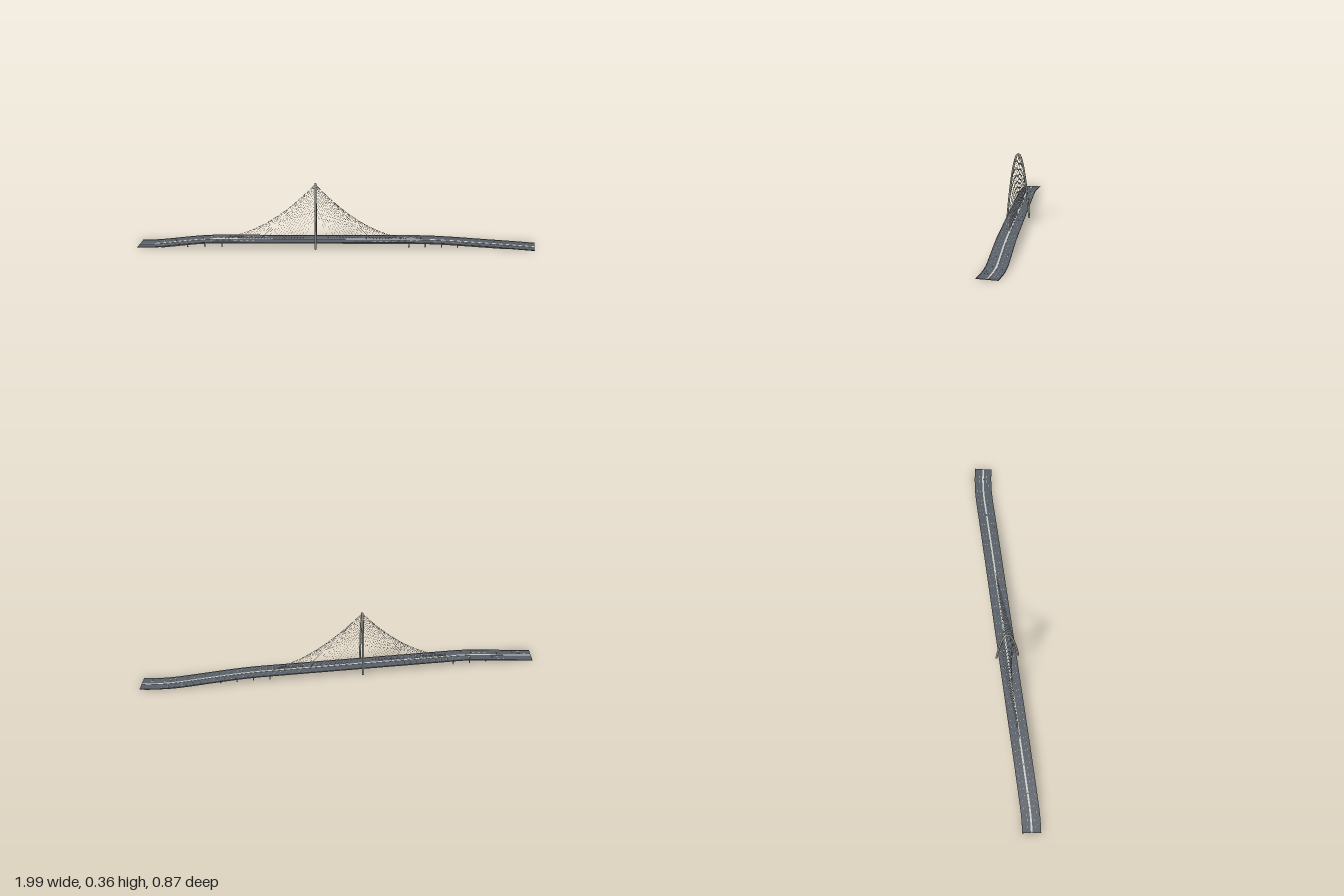
import * as THREE from 'three';
import { mergeGeometries } from 'three/addons/utils/BufferGeometryUtils.js';

const mat = (color) => new THREE.MeshStandardMaterial({ color });
const smooth = (t) => THREE.MathUtils.smoothstep(t, 0, 1);

// Road alignment: straight over the main span, easing round at both ends
const PYLON_X = -0.105, PYLON_Z = 0.033, SLOPE = -0.41;
function planZ(x) {
  const l = Math.max(0, -0.85 - x), r = Math.max(0, x - 0.77);
  return PYLON_Z + SLOPE * (x - PYLON_X) - 0.5 * l * l + 0.48 * r * r;
}

// Road height: flat in the middle, ramping to the ground at the ends
const deckY = (x) => 0.033 * smooth((x + 0.99) / 0.4) * (1 - smooth((x - 0.38) / 0.59));

// Point on the alignment, shifted sideways by "off"
function at(x, off, y) {
  const slope = (planZ(x + 1e-3) - planZ(x - 1e-3)) / 2e-3;
  const len = Math.hypot(1, slope);
  return new THREE.Vector3(x - (slope / len) * off, Math.max(0, y), planZ(x) + off / len);
}

// Rectangular section swept along the alignment
function sweep(x0, x1, a, b, low, high, n = 80) {
  const pos = [], index = [];
  for (let i = 0; i <= n; i++) {
    const x = x0 + ((x1 - x0) * i) / n, h = deckY(x);
    for (const [o, y] of [[a, low], [b, low], [b, high], [a, high]]) {
      pos.push(...at(x, o, h + y).toArray());
    }
    if (i === n) continue;
    for (let j = 0; j < 4; j++) {
      const A = i * 4 + j, B = i * 4 + ((j + 1) % 4);
      index.push(A, A + 4, B, B, A + 4, B + 4);
    }
  }
  const e = n * 4;
  index.push(0, 1, 2, 0, 2, 3, e, e + 2, e + 1, e, e + 3, e + 2);
  const g = new THREE.BufferGeometry();
  g.setAttribute('position', new THREE.Float32BufferAttribute(pos, 3));
  g.setIndex(index);
  const flat = g.toNonIndexed();
  flat.computeVertexNormals();
  return flat;
}

// Straight round bar between two points
function bar(p, q, r, sides = 5) {
  const d = q.clone().sub(p);
  const g = new THREE.CylinderGeometry(r, r, d.length(), sides);
  g.applyQuaternion(new THREE.Quaternion().setFromUnitVectors(new THREE.Vector3(0, 1, 0), d.normalize()));
  const m = p.clone().add(q).multiplyScalar(0.5);
  return g.translate(m.x, m.y, m.z);
}

// Parabolic arch across the road; t runs from one foot (-1) over the crown to the other (1)
const archPoint = (t) => at(PYLON_X, 0.06 * t, 0.3515 * (1 - t * t));

export function createModel() {
  const group = new THREE.Group();
  const add = (name, geometry, material) => {
    const mesh = new THREE.Mesh(geometry, material);
    mesh.name = name;
    group.add(mesh);
  };
  const asphalt = mat(0x596067), concrete = mat(0xa3a398), shade = mat(0x6c6f6e);
  const pale = mat(0xd0d4d0), steel = mat(0xb4b4aa), cableGrey = mat(0xb8b8b8);
  const X0 = -0.986, X1 = 0.986;

  // Road slab, girder, parapets and median
  add('roadDeck', sweep(X0, X1, -0.0485, 0.0485, 0, 0.002), asphalt);
  add('deckGirder', sweep(-0.87, 0.86, -0.044, 0.044, -0.005, 0), concrete);
  add('parapets', mergeGeometries([-1, 1].map((s) =>
    sweep(X0, X1, s * 0.0477 - 0.0008, s * 0.0477 + 0.0008, 0.001, 0.0042))), shade);
  add('median', sweep(X0, X1, -0.0045, 0.0045, 0.0015, 0.0032), pale);

  // Dashed lane lines
  const dashes = [];
  for (const o of [-0.033, -0.019, 0.019, 0.033]) {
    for (let x = -0.96; x < 0.95; x += 0.03) {
      dashes.push(sweep(x, x + 0.012, o - 0.0004, o + 0.0004, 0.0018, 0.0023, 1));
    }
  }
  add('laneLines', mergeGeometries(dashes), pale);

  // Cross beams under the deck
  const beams = [];
  for (let x = -0.72; x < 0.66; x += 0.06) {
    beams.push(sweep(x, x + 0.003, -0.043, 0.043, -0.0058, -0.001, 1));
  }
  add('crossBeams', mergeGeometries(beams), shade);

  // Paired approach piers
  const piers = [];
  for (const x of [-0.74, -0.655, -0.57, 0.355, 0.436, 0.516, 0.596]) {
    for (const o of [-0.028, 0.028]) {
      piers.push(bar(at(x, o, 0), at(x, o, deckY(x) - 0.003), 0.003, 10));
    }
  }
  add('piers', mergeGeometries(piers), steel);

  // Arch pylon
  const archPts = [];
  for (let i = 0; i <= 40; i++) archPts.push(archPoint(-0.998 + (1.996 * i) / 40));
  add('archPylon', new THREE.TubeGeometry(new THREE.CatmullRomCurve3(archPts), 96, 0.0053, 10), steel);

  // Cables: each fan travels over the arch from leg to leg while its anchors move outwards
  const cables = [], COUNT = 27, along = 1 / Math.hypot(1, SLOPE);
  for (const s of [-1, 1]) {
    for (let i = 0; i < COUNT; i++) {
      const f = i / (COUNT - 1);
      const t = -s * 0.7 * (1 - 2 * f);
      const x = PYLON_X + s * (0.07 + 0.42 * f) * along;
      cables.push(bar(archPoint(t), at(x, 0, deckY(x) + 0.003), 0.0004, 4));
    }
  }
  add('cables', mergeGeometries(cables), cableGrey);

  // Lamp posts along the median
  const posts = [];
  for (let x = -0.8; x < 0.8; x += 0.135) {
    posts.push(bar(at(x, 0, deckY(x) + 0.003), at(x, 0, deckY(x) + 0.022), 0.0004, 4));
  }
  add('lampPosts', mergeGeometries(posts), steel);

  return group;
}
